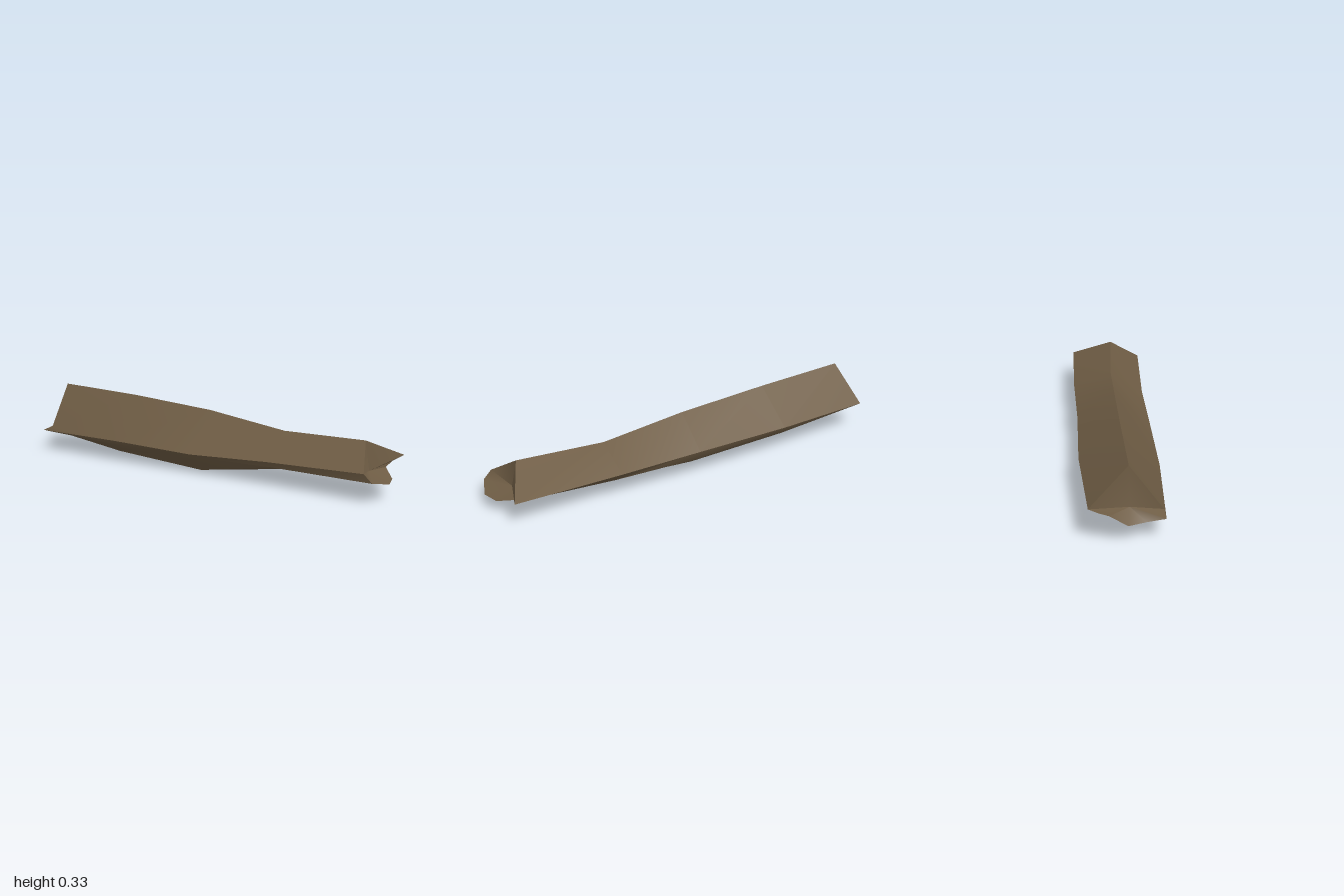
import * as THREE from 'three';
import { toCreasedNormals } from 'three/addons/utils/BufferGeometryUtils.js';

// Cross-sections from right to left, each point [x, y, z]:
// top ridge, front edge, lower front, four points under the belly, back edge
const SECTIONS = [
  [[-0.915, 0.33, 0.005], [-0.9, 0.117, 0.155], [-0.955, 0.1, 0.16], [-0.95, 0.085, 0.08],
    [-0.98, 0.085, 0], [-1, 0.145, -0.08], [-0.985, 0.15, -0.12], [-0.965, 0.16, -0.165]],
  [[-0.46, 0.313, 0], [-0.46, 0.105, 0.18], [-0.46, 0.085, 0.17], [-0.5, 0.03, 0.085],
    [-0.48, 0.04, -0.005], [-0.48, 0.075, -0.095], [-0.48, 0.115, -0.16], [-0.48, 0.158, -0.189]],
  [[0, 0.283, 0], [0, 0.095, 0.18], [0, 0.08, 0.158], [0, 0, 0.085],
    [0, 0.015, -0.005], [0, 0.055, -0.095], [0, 0.105, -0.163], [0, 0.15, -0.18]],
  [[0.42, 0.23, 0.005], [0.42, 0.113, 0.172], [0.44, 0.09, 0.165], [0.46, 0.068, 0.085],
    [0.46, 0.07, 0], [0.45, 0.08, -0.09], [0.44, 0.115, -0.16], [0.42, 0.15, -0.185]],
  [[0.85, 0.241, 0.03], [0.92, 0.13, 0.188], [0.96, 0.092, 0.185], [0.995, 0.073, 0.085],
    [0.97, 0.076, 0], [0.9, 0.105, -0.08], [0.91, 0.125, -0.13], [0.945, 0.148, -0.177]],
];

// Skin between the sections, closed by a sunken fan at each splintered end
function loft(sections, startHub, endHub) {
  const n = sections[0].length, last = sections.length - 1;
  const points = [...sections.flat(), startHub, endHub];
  const hubA = points.length - 2, hubB = points.length - 1;
  const index = [];
  for (let i = 0; i < n; i++) {
    const j = (i + 1) % n;
    for (let s = 0; s < last; s++) {
      const a = s * n + i, b = s * n + j;
      index.push(a, b, a + n, b, b + n, a + n);
    }
    index.push(hubA, j, i);
    index.push(hubB, last * n + i, last * n + j);
  }
  const geometry = new THREE.BufferGeometry();
  geometry.setAttribute('position', new THREE.Float32BufferAttribute(points.flat(), 3));
  geometry.setIndex(index);
  return toCreasedNormals(geometry, 0.7);
}

export function createModel() {
  const wood = new THREE.MeshStandardMaterial({ color: 0x6e5c44 });
  wood.name = 'dark brown wood';
  wood.side = THREE.DoubleSide;

  const plank = new THREE.Mesh(loft(SECTIONS, [-0.915, 0.14, 0.01], [0.875, 0.108, 0.04]), wood);
  plank.name = 'brokenBeam';

  const group = new THREE.Group();
  group.name = 'splinteredBeam';
  group.add(plank);
  return group;
}
